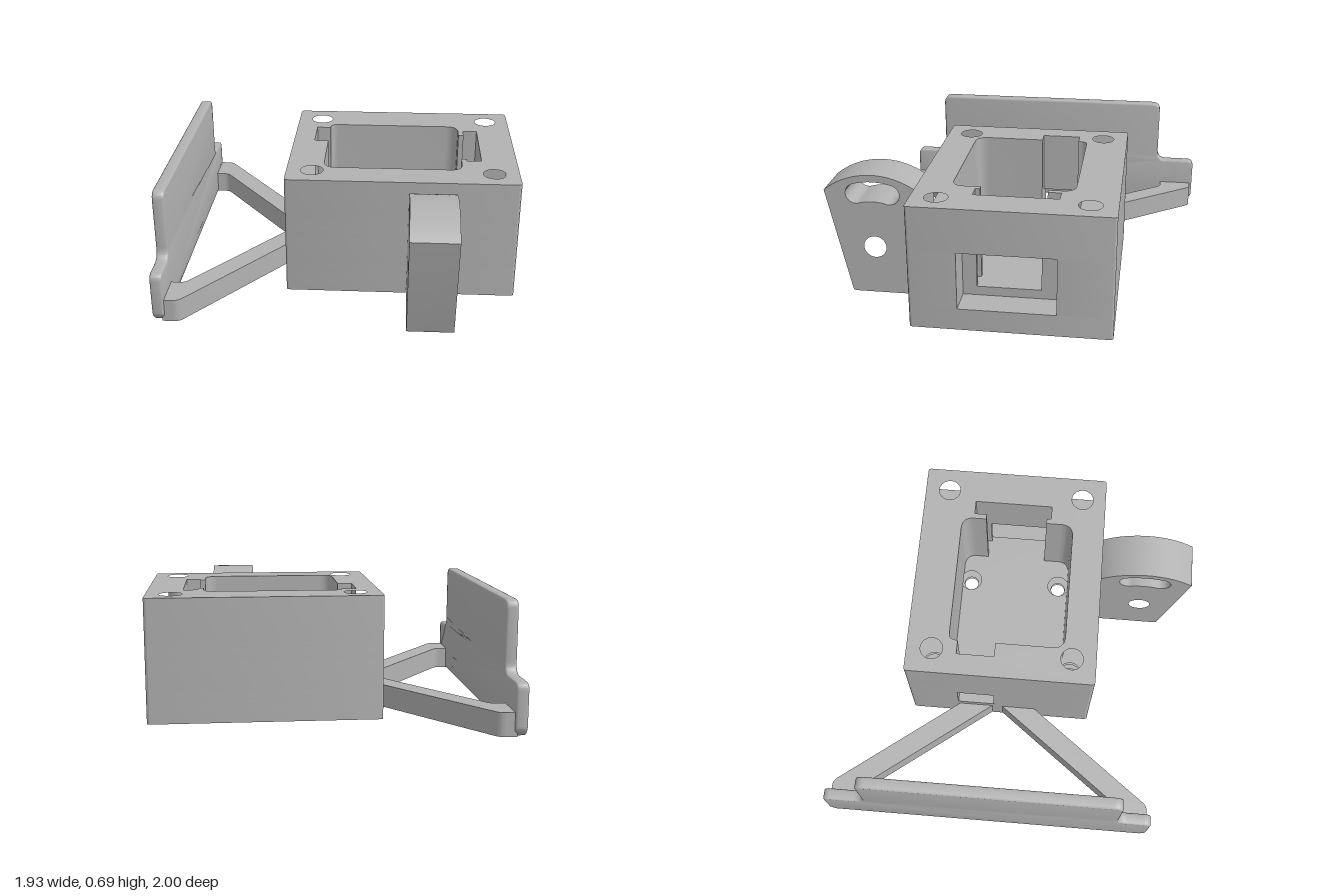
import * as THREE from 'three';
import { toCreasedNormals } from 'three/addons/utils/BufferGeometryUtils.js';

const plastic = new THREE.MeshStandardMaterial({ color: 0xb2b2b2 });
plastic.name = 'grey plastic';

// Closed outline from [x, y, cornerRadius] points
function outline(points) {
  const shape = new THREE.Shape();
  const v = points.map(p => new THREE.Vector2(p[0], p[1]));
  points.forEach((p, i) => {
    const r = p[2] || 0, c = v[i], n = v.length;
    const toward = q => c.clone().add(q.clone().sub(c).setLength(r));
    const a = r ? toward(v[(i + n - 1) % n]) : c;
    if (i === 0) shape.moveTo(a.x, a.y); else shape.lineTo(a.x, a.y);
    if (r) {
      const b = toward(v[(i + 1) % n]);
      shape.quadraticCurveTo(c.x, c.y, b.x, b.y);
    }
  });
  shape.closePath();
  return shape;
}

function circle(x, y, r) {
  return new THREE.Path().absarc(x, y, r, 0, Math.PI * 2, true);
}

function mesh(name, geometry) {
  const m = new THREE.Mesh(toCreasedNormals(geometry, 0.6), plastic);
  m.name = name;
  return m;
}

// Plan outline in [x, z], raised from y0 to y1
const plan = pts => outline(pts.map(([x, z, r]) => [x, -z, r]));
function slab(name, shape, y0, y1) {
  const g = new THREE.ExtrudeGeometry(shape, { depth: y1 - y0, bevelEnabled: false, curveSegments: 16 });
  return mesh(name, g.rotateX(-Math.PI / 2).translate(0, y0, 0));
}

// Side outline drawn in [-z, y], spanning x0 to x1
function sidePiece(name, shape, x0, x1, bevel = 0) {
  const g = new THREE.ExtrudeGeometry(shape, {
    depth: x1 - x0 - 2 * bevel, curveSegments: 20, bevelEnabled: bevel > 0,
    bevelSize: bevel, bevelOffset: -bevel, bevelThickness: bevel, bevelSegments: 3,
  });
  return mesh(name, g.rotateY(Math.PI / 2).translate(x0 + bevel, 0, 0));
}

function makeHousing() {
  const housing = new THREE.Group();
  housing.name = 'housing';

  // Outer walls and the two halves of the cavity wall, in [x, z]
  const outerFront = [[0.965, 0.475, 0.02], [-0.3, 0.475, 0.02]];
  const outerBack = [[-0.3, -0.58, 0.02], [0.965, -0.58, 0.02]];
  const cavityBack = [[0.77, -0.28], [0.69, -0.28], [0.69, -0.21], [0.66, -0.21],
    [0.66, -0.35, 0.07], [-0.1, -0.35, 0.04], [-0.1, -0.3], [-0.18, -0.3]];
  const cavityFront = [[-0.18, -0.09], [-0.1, -0.09], [-0.1, 0.295, 0.07],
    [0.66, 0.295, 0.07], [0.66, 0.14], [0.69, 0.14], [0.69, 0.165], [0.77, 0.165]];
  // Stepped socket window in the +x wall
  const recessBack = [[0.965, -0.29], [0.8, -0.29]];
  const recessFront = [[0.8, 0.22], [0.965, 0.22]];
  const windowBack = [...recessBack, [0.8, -0.195], [0.77, -0.195]];
  const windowFront = [[0.77, 0.145], [0.8, 0.145], ...recessFront];

  const plain = [...outerFront, ...outerBack];
  const recessed = [...plain, ...recessBack, ...recessFront];
  const cavity = [...cavityBack, ...cavityFront];
  const bolts = [[-0.16, -0.44], [0.83, -0.44], [-0.16, 0.34], [0.83, 0.34]];

  function layer(name, points, y0, y1, { hex, hollow, screw, side = 0 } = {}) {
    const shape = plan(points);
    for (const [x, z] of bolts) {
      if (side * z < 0) continue;
      if (hex) {
        const pts = [];
        for (let i = 0; i < 6; i++) {
          pts.push(new THREE.Vector2(x + 0.105 * Math.cos(i * Math.PI / 3), -z + 0.105 * Math.sin(i * Math.PI / 3)));
        }
        shape.holes.push(new THREE.Path(pts));
      } else shape.holes.push(circle(x, -z, 0.062));
    }
    if (screw) for (const z of [-0.3, 0.24]) shape.holes.push(circle(0.49, -z, screw));
    if (hollow) shape.holes.push(plan(cavity));
    housing.add(slab(name, shape, y0, y1));
  }

  layer('nutPocketBase', plain, 0, 0.1, { hex: true, screw: 0.042 });
  layer('floor', plain, 0.1, 0.12, { screw: 0.042 });
  layer('cavityFloor', recessed, 0.12, 0.17, { screw: 0.063 });
  // Walls split by the socket window and the cable opening
  layer('lowerFrontWall', [...outerFront, [-0.3, -0.09], ...cavityFront, ...windowFront], 0.17, 0.335, { side: 1 });
  layer('lowerBackWall', [[-0.3, -0.3], ...outerBack, ...windowBack, ...cavityBack], 0.17, 0.335, { side: -1 });
  layer('windowWall', [...plain, ...windowBack, ...cavity, ...windowFront], 0.335, 0.405);
  layer('windowHeadWall', recessed, 0.405, 0.435, { hollow: true });
  layer('upperWall', plain, 0.435, 0.675, { hollow: true });
  return housing;
}

// Pivot lug with a round hole and a concentric curved slot
function makeLug() {
  const cx = -0.735, cy = 0.275, R = 0.415;
  const shape = new THREE.Shape();
  shape.moveTo(-0.46, 0);
  shape.lineTo(-0.86, 0);
  shape.quadraticCurveTo(-0.873, 0, -0.876, 0.015);
  shape.lineTo(-1, 0.595);
  const start = Math.atan2(0.595 - cy, -1 - cx);
  const end = Math.acos((-0.46 - cx) / R);
  shape.absarc(cx, cy, R, start, end, true);
  shape.closePath();
  shape.holes.push(circle(cx, cy, 0.062));

  const slot = new THREE.Path(), mid = 0.32, w = 0.056, half = 0.29, up = Math.PI / 2;
  slot.absarc(cx, cy, mid + w, up - half, up + half, false);
  const endCap = (a, from) => slot.absarc(cx + mid * Math.cos(a), cy + mid * Math.sin(a), w, from, from + Math.PI, false);
  endCap(up + half, up + half);
  slot.absarc(cx, cy, mid - w, up + half, up - half, true);
  endCap(up - half, up - half + Math.PI);
  shape.holes.push(slot);
  return sidePiece('pivotLug', shape, 0.37, 0.62);
}

export function createModel() {
  const model = new THREE.Group();
  model.name = 'bracketedHousing';
  model.add(makeHousing(), makeLug());

  // Upright plate with lower stepped ends
  const plate = outline([
    [1, 0.285, 0.04], [0.765, 0.285, 0.06], [0.765, 0.67, 0.05],
    [-0.665, 0.67, 0.05], [-0.665, 0.285, 0.06], [-0.855, 0.285, 0.04],
    [-0.855, 0.045, 0.015], [-0.825, 0.005, 0.015], [0.97, 0.005, 0.015], [1, 0.045, 0.015],
  ]);
  model.add(sidePiece('sidePlate', plate, -0.97, -0.905, 0.012));

  // Mirrored struts joining the plate to the housing
  for (const s of [-1, 1]) {
    const z = d => -0.07 + s * d;
    const strut = plan([
      [-0.92, z(0.915)], [-0.83, z(0.915), 0.03], [-0.3, z(0.222)], [-0.29, z(0.222)],
      [-0.29, z(0.03)], [-0.3, z(0.03)], [-0.83, z(0.723), 0.03], [-0.92, z(0.723)],
    ]);
    model.add(slab(s < 0 ? 'backStrut' : 'frontStrut', strut, 0.005, 0.132));
  }
  return model;
}
